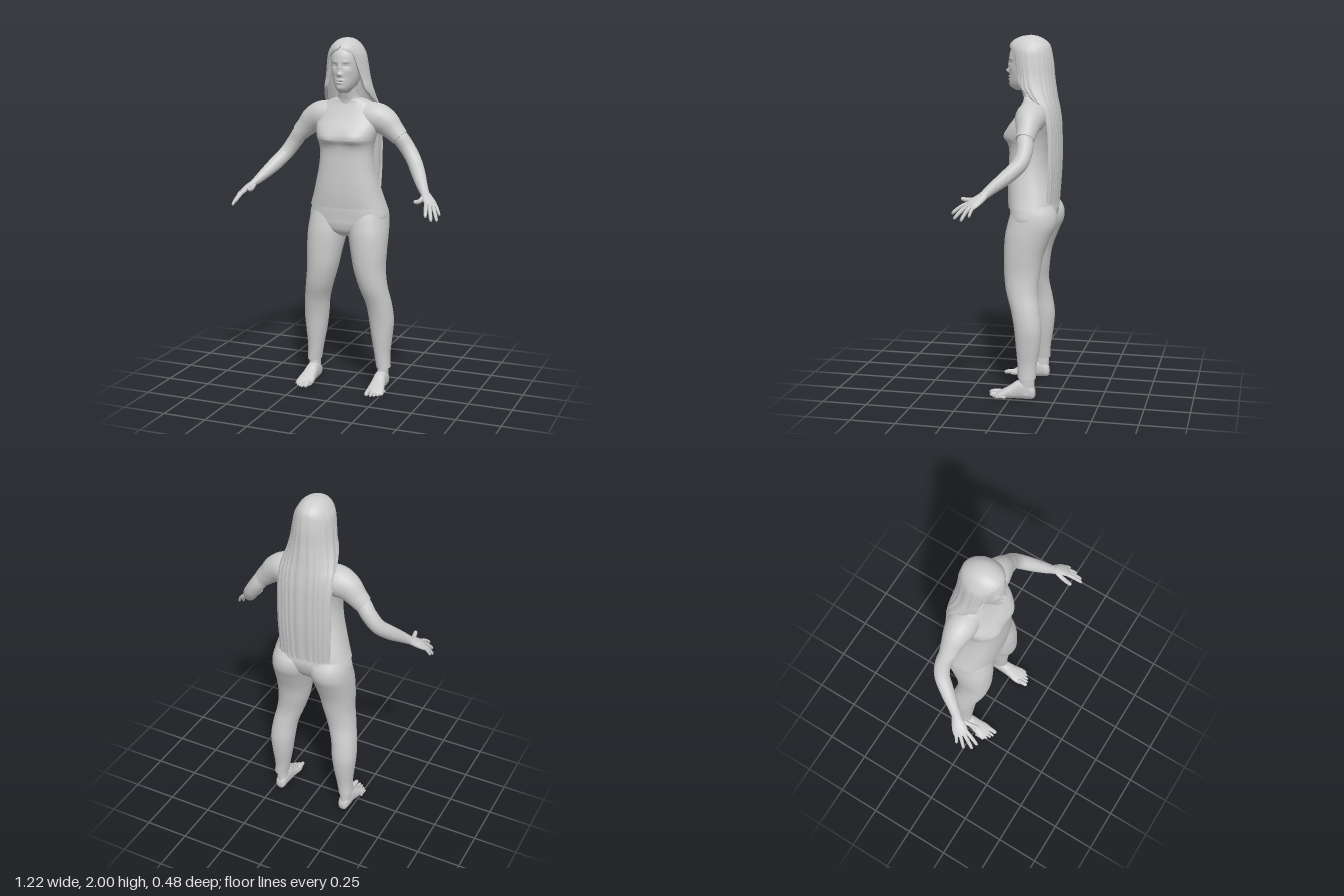
import * as THREE from 'three';
import { toCreasedNormals } from 'three/addons/utils/BufferGeometryUtils.js';

const TAU = Math.PI * 2;
const grey = new THREE.MeshStandardMaterial({ name: 'plain grey', color: 0xcccccc });

// Catmull-Rom blend of a table of rows
function sample(rows, t) {
  const n = rows.length - 1, f = Math.min(Math.max(t, 0), 1) * n, i = Math.min(Math.floor(f), n - 1), k = f - i;
  const [p, a, b, q] = [i - 1, i, i + 1, i + 2].map((j) => rows[Math.min(Math.max(j, 0), n)]);
  return a.map((_, c) => 0.5 * (2 * a[c] + (b[c] - p[c]) * k + (2 * p[c] - 5 * a[c] + 4 * b[c] - q[c]) * k * k
    + (3 * a[c] - p[c] - 3 * b[c] + q[c]) * k * k * k));
}

// Skin over closed rings of points, with end caps
function skin(name, rings, crease = 1) {
  const n = rings[0].length, m = rings.length, pos = rings.flat(2), idx = [];
  for (let i = 0; i < m - 1; i++) for (let j = 0; j < n; j++) {
    const a = i * n + j, b = i * n + (j + 1) % n;
    idx.push(a, b, a + n, b, b + n, a + n);
  }
  [0, m - 1].forEach((r, e) => {
    for (let c = 0; c < 3; c++) pos.push(rings[r].reduce((s, p) => s + p[c], 0) / n);
    for (let j = 0; j < n; j++) {
      const a = r * n + j, b = r * n + (j + 1) % n;
      idx.push(m * n + e, ...(e ? [a, b] : [b, a]));
    }
  });
  const g = new THREE.BufferGeometry();
  g.setAttribute('position', new THREE.Float32BufferAttribute(pos, 3));
  g.setIndex(idx);
  const mesh = new THREE.Mesh(toCreasedNormals(g, crease), grey);
  mesh.name = name;
  return mesh;
}

// Upright body part from rows [y, x0, x1, zFront, zBack]; power squares the section
function stack(name, rows, { steps = 40, seg = 40, power = 2, shape = (p) => p } = {}) {
  const rings = [];
  const s = (v) => Math.sign(v) * Math.abs(v) ** (2 / power);
  for (let i = 0; i <= steps; i++) {
    const [y, x0, x1, zf, zb] = sample(rows, i / steps), ring = [];
    for (let j = 0; j < seg; j++) {
      const a = j / seg * TAU;
      ring.push(shape([(x0 + x1) / 2 + (x1 - x0) / 2 * s(Math.sin(a)), y, (zf + zb) / 2 + (zf - zb) / 2 * s(Math.cos(a))]));
    }
    rings.push(ring);
  }
  return skin(name, rings);
}

// Limb along rows [x, y, z, radius across, radius along ref]
function limb(name, rows, ref = [0, 0, 1], steps = 24, seg = 20) {
  const rings = [], at = (t) => new THREE.Vector3(...sample(rows, t).slice(0, 3));
  for (let i = 0; i <= steps; i++) {
    const t = i / steps, [, , , ru, rv] = sample(rows, t), c = at(t), ring = [];
    const T = at(t + 0.01).sub(at(t - 0.01)).normalize();
    const v = new THREE.Vector3(...ref).addScaledVector(T, -T.dot(new THREE.Vector3(...ref))).normalize();
    const u = T.clone().cross(v);
    for (let j = 0; j < seg; j++) {
      const a = j / seg * TAU;
      ring.push(c.clone().addScaledVector(u, ru * Math.sin(a)).addScaledVector(v, rv * Math.cos(a)).toArray());
    }
    rings.push(ring);
  }
  return skin(name, rings);
}

// Finger or toe: bent, tapered, with a rounded tip
function digit(name, a, b, r, lift) {
  const mix = (k) => a.map((v, i) => v + (b[i] - v) * k + (i === 1 ? lift * 4 * k * (1 - k) : 0));
  const rows = [[0, 1], [0.35, 0.95], [0.7, 0.88], [0.9, 0.75], [0.97, 0.5], [1, 0.1]].map(([k, s]) => [...mix(k), r * s, r * s]);
  return limb(name, rows, [0.3, 1, 0.2], 15, 10);
}

// Push the front surface in or out by soft bumps [x, y, sizeX, sizeY, depth], mirrored
const sculpt = (bumps, zMin) => ([x, y, z]) => {
  const w = Math.min(Math.max((z - zMin) / 0.04, 0), 1);
  for (const [bx, by, sx, sy, d] of bumps)
    z += w * d * Math.exp(-(((Math.abs(x) - bx) / sx) ** 2) - ((y - by) / sy) ** 2);
  return [x, y, z];
};
const even = (rows) => rows.map(([y, w, f, b]) => [y, -w, w, f, b]);

function head() {
  const g = new THREE.Group();
  g.name = 'head';
  const face = [[0, 1.806, 0.013, 0.012, 0.02], [0, 1.838, 0.011, 0.026, 0.01], [0.012, 1.802, 0.007, 0.007, 0.005],
    [0, 1.774, 0.022, 0.006, 0.009], [0, 1.758, 0.019, 0.006, 0.009], [0, 1.766, 0.024, 0.003, -0.005],
    [0, 1.73, 0.02, 0.012, 0.006], [0.033, 1.853, 0.017, 0.011, -0.009], [0.035, 1.874, 0.022, 0.006, 0.004],
    [0.046, 1.82, 0.018, 0.018, 0.004]];
  g.add(stack('face', even([[1.7, 0.025, 0.015, -0.1], [1.715, 0.04, 0.04, -0.12], [1.74, 0.056, 0.05, -0.14],
    [1.78, 0.071, 0.05, -0.16], [1.83, 0.08, 0.05, -0.17], [1.88, 0.082, 0.052, -0.17], [1.92, 0.077, 0.042, -0.165],
    [1.95, 0.063, 0.015, -0.15], [1.97, 0.04, -0.02, -0.12]]),
  { steps: 96, seg: 96, power: 2.1, shape: sculpt(face, -0.01) }));
  for (const s of [-1, 1]) {
    const eye = new THREE.Mesh(new THREE.SphereGeometry(0.011, 16, 10), grey);
    eye.name = 'eye';
    eye.scale.set(1.3, 0.6, 1);
    eye.position.set(s * 0.033, 1.853, 0.026);
    g.add(eye);
  }
  g.add(stack('neck', even([[1.58, 0.08, -0.03, -0.16], [1.65, 0.068, -0.03, -0.145], [1.68, 0.056, -0.022, -0.135],
    [1.72, 0.053, -0.01, -0.135], [1.77, 0.053, -0.01, -0.135]])));
  return g;
}

// Long hair: rows [y, half width, centre z, front reach, back reach, face opening in degrees]
function hair() {
  const rows = [[2, 0.004, -0.07, 0.004, 0.004, 0], [1.992, 0.04, -0.067, 0.052, 0.045, 0], [1.972, 0.068, -0.06, 0.087, 0.09, 0],
    [1.945, 0.088, -0.06, 0.108, 0.115, 6], [1.91, 0.105, -0.06, 0.105, 0.125, 38], [1.85, 0.115, -0.065, 0.1, 0.13, 48],
    [1.78, 0.125, -0.075, 0.1, 0.125, 55], [1.72, 0.138, -0.09, 0.12, 0.117, 62], [1.66, 0.152, -0.125, 0.09, 0.09, 72],
    [1.6, 0.16, -0.165, 0.04, 0.06, 82], [1.5, 0.16, -0.19, 0.02, 0.045, 90], [1.3, 0.16, -0.195, 0.02, 0.042, 90],
    [1.08, 0.152, -0.185, 0.02, 0.038, 90]].reverse();
  const rings = [], n = 90, steps = 72;
  for (let i = 0; i <= steps; i++) {
    const [y, w, cz, rf, rb, deg] = sample(rows, i / steps), ring = [];
    const open = Math.max(deg, 0) * Math.PI / 180;
    for (let j = 0; j < 2 * n; j++) {
      const inner = j >= n, k = inner ? 2 * n - 1 - j : j;
      const a = open + (TAU - 2 * open) * k / (n - 1);
      // shallow strands fade out on the crown
      const strand = 0.0025 * Math.sin(a * 23 + Math.sin(a * 5) * 2) * Math.min(1, (2 - y) * 4);
      const off = inner ? -0.016 : strand, c = Math.cos(a);
      const r = c > 0 ? rf : rb;
      ring.push([Math.max(w + off, 0.001) * Math.sin(a), y, cz + Math.max(r + off, 0.001) * c]);
    }
    rings.push(ring);
  }
  return skin('longHair', rings, 0.9);
}

function arm() {
  const g = new THREE.Group();
  g.name = 'arm';
  g.add(limb('sleeve', [[0.08, 1.568, -0.1, 0.08, 0.08], [0.16, 1.558, -0.1, 0.085, 0.085], [0.215, 1.535, -0.1, 0.076, 0.072],
    [0.26, 1.495, -0.1, 0.06, 0.058], [0.3, 1.455, -0.098, 0.05, 0.05]]));
  g.add(limb('bareArm', [[0.26, 1.495, -0.1, 0.043, 0.043], [0.3, 1.455, -0.1, 0.045, 0.045], [0.34, 1.4, -0.105, 0.043, 0.044],
    [0.385, 1.335, -0.088, 0.041, 0.042], [0.43, 1.275, -0.03, 0.039, 0.038], [0.47, 1.225, 0.03, 0.031, 0.031],
    [0.5, 1.19, 0.07, 0.023, 0.026], [0.515, 1.178, 0.085, 0.019, 0.026]], [-0.6, 0.2, 0.75], 36));
  g.add(limb('palm', [[0.497, 1.193, 0.066, 0.02, 0.024], [0.52, 1.172, 0.09, 0.018, 0.034], [0.54, 1.155, 0.112, 0.016, 0.041],
    [0.557, 1.138, 0.132, 0.013, 0.041], [0.565, 1.13, 0.142, 0.008, 0.034]], [-0.6, 0.2, 0.75], 16));
  const fingers = [['index', [0.534, 1.146, 0.15], [0.557, 1.09, 0.235], 0.0115], ['middle', [0.549, 1.138, 0.143], [0.583, 1.067, 0.218], 0.0115],
    ['ring', [0.563, 1.134, 0.13], [0.603, 1.06, 0.176], 0.011], ['little', [0.573, 1.134, 0.112], [0.604, 1.082, 0.132], 0.0095],
    ['thumb', [0.503, 1.172, 0.1], [0.485, 1.165, 0.203], 0.0135]];
  for (const [n, a, b, r] of fingers) g.add(digit(n + 'Finger', a, b, r, n === 'thumb' ? -0.012 : 0.008));
  return g;
}

function leg() {
  const g = new THREE.Group();
  g.name = 'leg';
  g.add(stack('trouserLeg', [[0.12, 0.175, 0.255, -0.042, -0.142], [0.2, 0.162, 0.252, -0.038, -0.147], [0.3, 0.144, 0.262, -0.028, -0.163],
    [0.4, 0.13, 0.27, -0.018, -0.17], [0.5, 0.117, 0.261, 0.002, -0.157], [0.6, 0.085, 0.243, 0.034, -0.142],
    [0.7, 0.055, 0.232, 0.05, -0.15], [0.8, 0.034, 0.234, 0.053, -0.167], [0.9, 0.014, 0.235, 0.049, -0.205],
    [0.97, 0.002, 0.231, 0.036, -0.235], [1.03, 0, 0.222, 0.02, -0.236], [1.08, 0.02, 0.205, 0, -0.21]], { steps: 66, power: 2.15 }));
  g.add(stack('ankle', [[0.03, 0.18, 0.245, -0.04, -0.132], [0.08, 0.181, 0.243, -0.045, -0.134], [0.15, 0.183, 0.245, -0.05, -0.136]], { steps: 8 }));
  // Foot runs heel to toe, so its stack [z, y0, y1, x1, x0] is turned onto its side
  g.add(stack('foot', [[-0.138, 0.015, 0.05, 0.225, 0.195], [-0.128, 0.004, 0.075, 0.238, 0.183], [-0.09, 0, 0.105, 0.244, 0.178],
    [-0.04, 0, 0.102, 0.247, 0.175], [0, 0, 0.075, 0.255, 0.172], [0.035, 0, 0.052, 0.265, 0.167],
    [0.065, 0, 0.035, 0.268, 0.167], [0.085, 0.004, 0.022, 0.255, 0.172]], { steps: 28, power: 2.4, shape: ([y, z, x]) => [x, y, z] }));
  for (let i = 0; i < 5; i++) {
    const r = i ? 0.0105 - i * 0.0005 : 0.015, x = i ? 0.19 + i * 0.0175 : 0.184;
    g.add(digit('toe', [x, r + 0.004, 0.045 - i * 0.006], [x + 0.003, r, 0.127 - i * 0.002 - i * i * 0.0026], r, 0.006));
  }
  return g;
}

export function createModel() {
  const model = new THREE.Group();
  model.name = 'standingWoman';
  model.add(head(), hair());

  // Shirt body with a soft bust
  model.add(stack('shirt', even([[1.06, 0.22, 0.045, -0.225], [1.12, 0.2, 0.05, -0.215], [1.2, 0.178, 0.051, -0.19],
    [1.28, 0.16, 0.048, -0.172], [1.36, 0.152, 0.045, -0.165], [1.41, 0.156, 0.05, -0.166], [1.45, 0.166, 0.066, -0.17],
    [1.5, 0.176, 0.05, -0.18], [1.55, 0.178, 0.014, -0.188], [1.6, 0.172, -0.014, -0.19], [1.64, 0.135, -0.032, -0.175],
    [1.662, 0.09, -0.035, -0.155], [1.667, 0.06, -0.04, -0.14]]),
  { steps: 72, seg: 64, power: 2.5, shape: sculpt([[0.08, 1.45, 0.05, 0.035, 0.011]], -0.03) }));

  // Trousers: seat joining two legs
  model.add(stack('trouserSeat', even([[0.89, 0.05, -0.02, -0.1], [0.92, 0.13, 0.02, -0.15], [0.96, 0.2, 0.034, -0.19],
    [1.0, 0.226, 0.036, -0.212], [1.05, 0.217, 0.038, -0.222], [1.09, 0.203, 0.035, -0.21]]), { power: 2.4 }));

  for (const s of [1, -1]) {
    const side = new THREE.Group();
    side.name = s > 0 ? 'leftLimbs' : 'rightLimbs';
    side.add(arm(), leg());
    side.scale.x = s;
    model.add(side);
  }
  return model;
}
